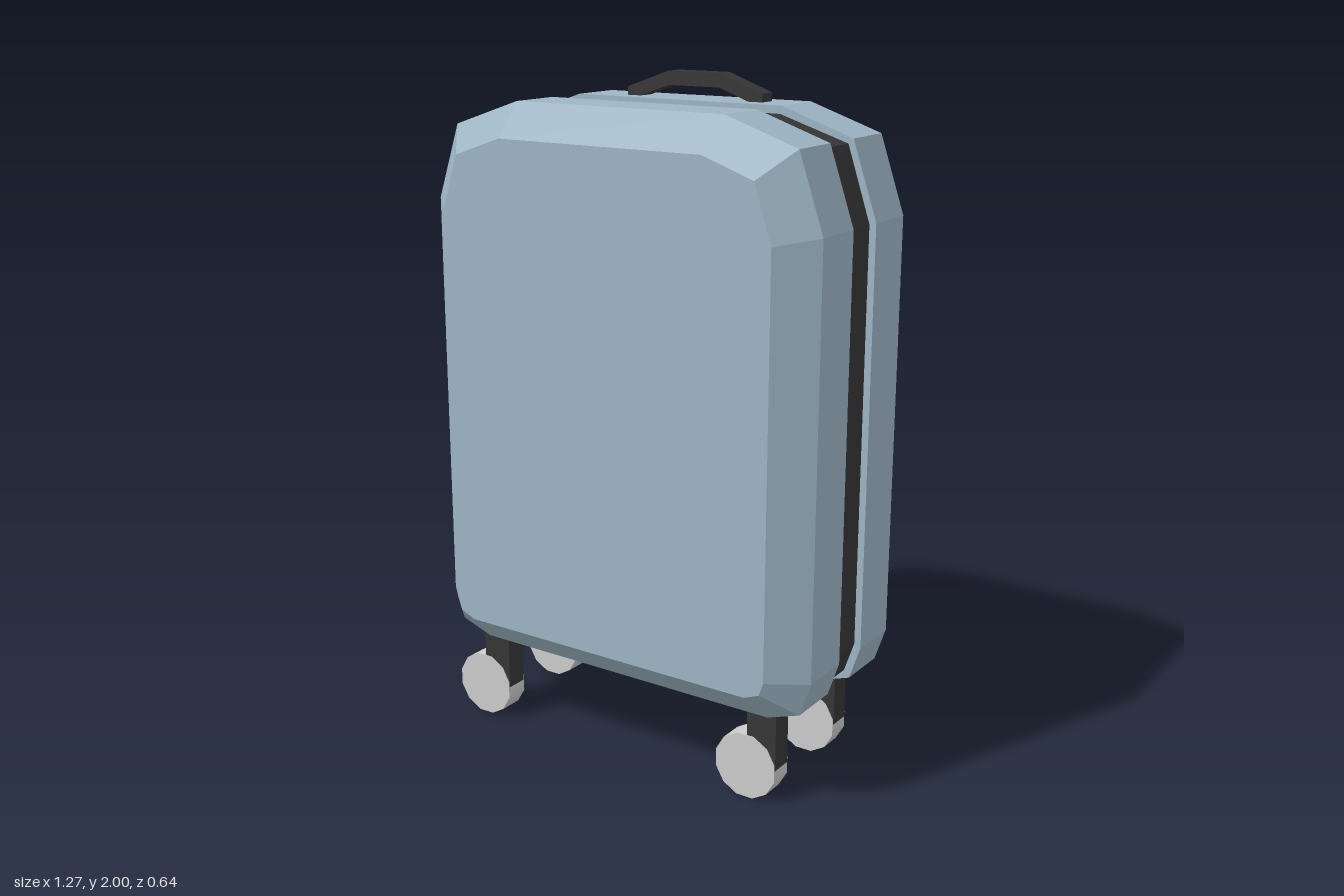
import * as THREE from 'three';

// Half outlines (x, y) of the case, listed from bottom to top on the +x side
const OUTER = [[0.5, 0.28], [0.602, 0.315], [0.635, 0.415], [0.635, 1.635], [0.56, 1.852], [0.34, 1.926]];
const PANEL = [[0.48, 0.373], [0.527, 0.392], [0.54, 0.43], [0.54, 1.618], [0.487, 1.778], [0.33, 1.832]];
const BAND = [[0.485, 0.302], [0.585, 0.335], [0.615, 0.425], [0.615, 1.63], [0.545, 1.838], [0.335, 1.904]];

// Closed counter-clockwise ring at depth z
function ring(half, z) {
  const left = half.slice().reverse().map(([x, y]) => [-x, y]);
  return [...half, ...left].map(([x, y]) => [x, y, z]);
}

// Skin a stack of rings from back to front and close both ends
function loft(rings) {
  const n = rings[0].length;
  const pos = rings.flat(2);
  const index = [];
  for (let r = 0; r < rings.length - 1; r++) {
    for (let i = 0; i < n; i++) {
      const j = (i + 1) % n;
      const a = r * n + i, b = r * n + j, c = a + n, d = b + n;
      index.push(a, b, d, a, d, c);
    }
  }
  const last = (rings.length - 1) * n;
  for (let i = 1; i < n - 1; i++) {
    index.push(0, i + 1, i);
    index.push(last, last + i, last + i + 1);
  }
  const indexed = new THREE.BufferGeometry();
  indexed.setAttribute('position', new THREE.Float32BufferAttribute(pos, 3));
  indexed.setIndex(index);
  const geo = indexed.toNonIndexed();
  geo.computeVertexNormals();
  return geo;
}

function material(name, color) {
  const m = new THREE.MeshStandardMaterial({ color });
  m.name = name;
  return m;
}

export function createModel() {
  const model = new THREE.Group();
  model.name = 'suitcase';
  const shellBlue = material('shellBlue', 0x9db5c4);
  const trimBlack = material('trimBlack', 0x363636);
  const wheelGrey = material('wheelGrey', 0xcccccc);

  function add(parent, name, geo, mat, x = 0, y = 0, z = 0) {
    const mesh = new THREE.Mesh(geo, mat);
    mesh.name = name;
    mesh.position.set(x, y, z);
    parent.add(mesh);
    return mesh;
  }

  // Two chamfered half shells
  const shellGeo = loft([ring(OUTER, 0.064), ring(OUTER, 0.225), ring(PANEL, 0.32)]);
  add(model, 'frontShell', shellGeo, shellBlue);
  add(model, 'backShell', shellGeo, shellBlue).rotation.y = Math.PI;

  // Recessed zip band between the shells
  add(model, 'zipBand', loft([ring(BAND, -0.07), ring(BAND, 0.07)]), trimBlack);

  // Bent carry handle on the back shell
  const arc = [[-0.204, 1.95], [-0.062, 2.0], [0.108, 2.0], [0.248, 1.95]];
  const profile = [...arc, ...arc.slice().reverse().map(([x, y]) => [x, y - 0.04])];
  const handleShape = new THREE.Shape(profile.map(([x, y]) => new THREE.Vector2(x, y)));
  const handleGeo = new THREE.ExtrudeGeometry(handleShape, { depth: 0.054, bevelEnabled: false });
  add(model, 'carryHandle', handleGeo, trimBlack, 0, 0, -0.17);

  // Four castors, each trailing its strut to the same side
  const wheelGeo = new THREE.CylinderGeometry(0.1, 0.1, 0.074, 12);
  wheelGeo.rotateY(Math.PI / 12).rotateX(Math.PI / 2);
  const strutGeo = new THREE.BoxGeometry(0.094, 0.2, 0.068);
  for (const x of [-0.54, 0.42]) {
    for (const z of [-0.172, 0.172]) {
      const castor = new THREE.Group();
      castor.name = (z > 0 ? 'front' : 'back') + (x > 0 ? 'Left' : 'Right') + 'Castor';
      castor.position.set(x, 0.1, z);
      add(castor, 'wheel', wheelGeo, wheelGrey);
      add(castor, 'strut', strutGeo, trimBlack, 0.051, 0.11, 0);
      model.add(castor);
    }
  }
  return model;
}
